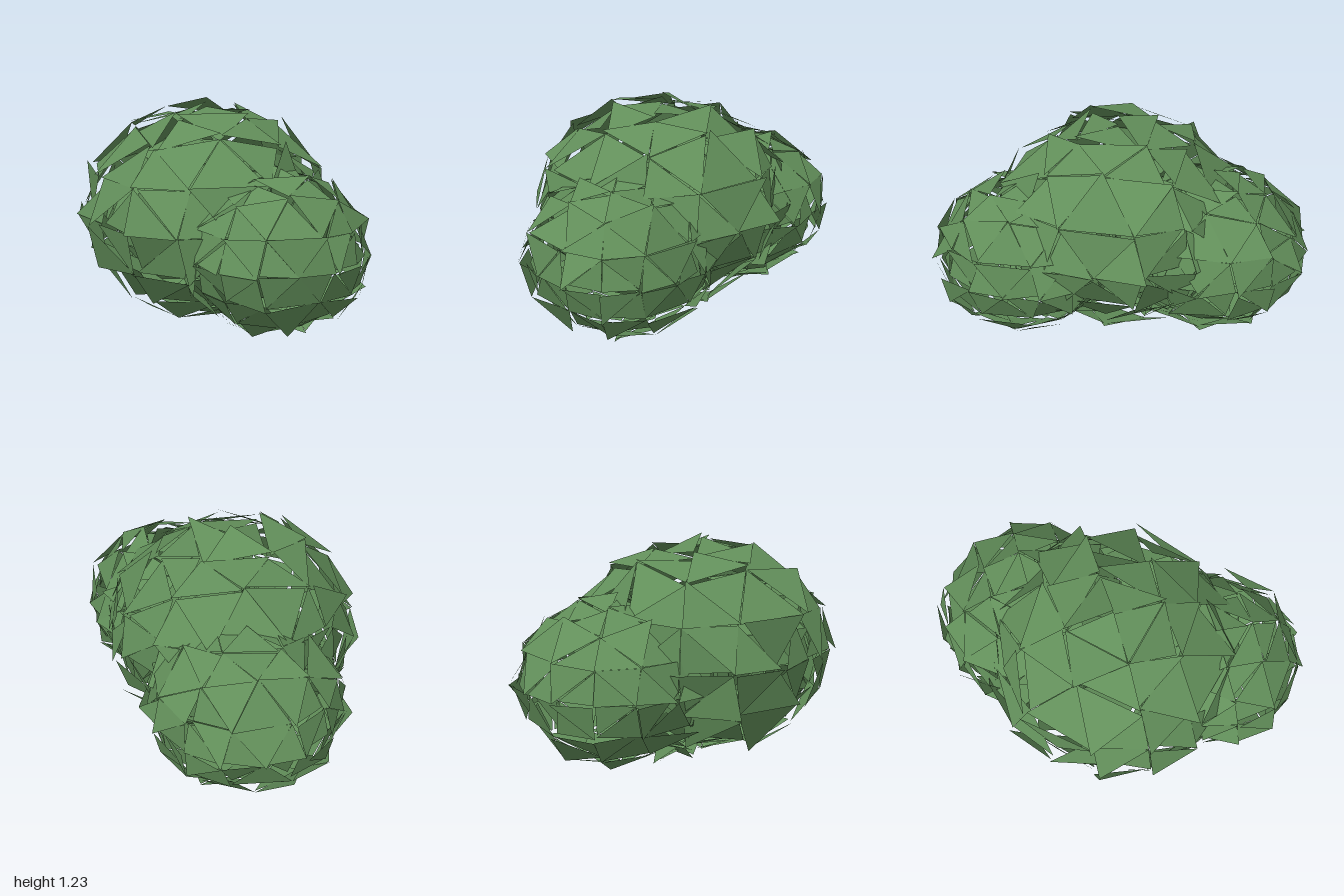
import * as THREE from 'three';

// Small seeded random generator
function makeRandom(seed) {
  let s = seed;
  return () => {
    s = (s * 1664525 + 1013904223) % 4294967296;
    return s / 4294967296;
  };
}

// Twice-halved octahedron of loose leaf triangles; each corner is pushed in or out along its ray
function leafBlob(rx, ry, rz, jitter, seed) {
  const random = makeRandom(seed);
  const radii = new THREE.Vector3(rx, ry, rz);
  const positions = [];
  const middle = (a, b) => a.clone().add(b).normalize();

  const split = (a, b, c, level) => {
    if (level === 0) {
      for (const corner of [a, b, c]) {
        const p = corner.clone().multiply(radii).multiplyScalar(1 + (random() * 2 - 1) * jitter);
        positions.push(p.x, p.y, p.z);
      }
      return;
    }
    const ab = middle(a, b), bc = middle(b, c), ca = middle(c, a);
    split(a, ab, ca, level - 1);
    split(ab, b, bc, level - 1);
    split(ca, bc, c, level - 1);
    split(ab, bc, ca, level - 1);
  };

  for (const sx of [1, -1]) {
    for (const sy of [1, -1]) {
      for (const sz of [1, -1]) {
        const x = new THREE.Vector3(sx, 0, 0);
        const y = new THREE.Vector3(0, sy, 0);
        const z = new THREE.Vector3(0, 0, sz);
        // Mirrored octants swap two corners so faces point outward
        if (sx * sy * sz > 0) split(x, y, z, 2);
        else split(x, z, y, 2);
      }
    }
  }

  const geometry = new THREE.BufferGeometry();
  geometry.setAttribute('position', new THREE.Float32BufferAttribute(positions, 3));
  geometry.computeVertexNormals();
  return geometry;
}

export function createModel() {
  const group = new THREE.Group();
  group.name = 'bush';

  const leafGreen = new THREE.MeshStandardMaterial({
    color: 0x628f5a, flatShading: true, side: THREE.DoubleSide,
  });
  leafGreen.name = 'leaf green';

  // Three overlapping clumps: a large middle one and two smaller ones
  const clumps = [
    { name: 'middleClump', centre: [-0.05, 0.62, 0.09], radii: [0.685, 0.575, 0.685], seed: 11 },
    { name: 'leftFrontClump', centre: [0.47, 0.49, 0.24], radii: [0.5, 0.42, 0.5], seed: 47 },
    { name: 'rightBackClump', centre: [-0.42, 0.5, -0.29], radii: [0.535, 0.44, 0.535], seed: 83 },
  ];
  for (const { name, centre, radii, seed } of clumps) {
    const mesh = new THREE.Mesh(leafBlob(...radii, 0.08, seed), leafGreen);
    mesh.name = name;
    mesh.position.set(...centre);
    group.add(mesh);
  }

  return group;
}
